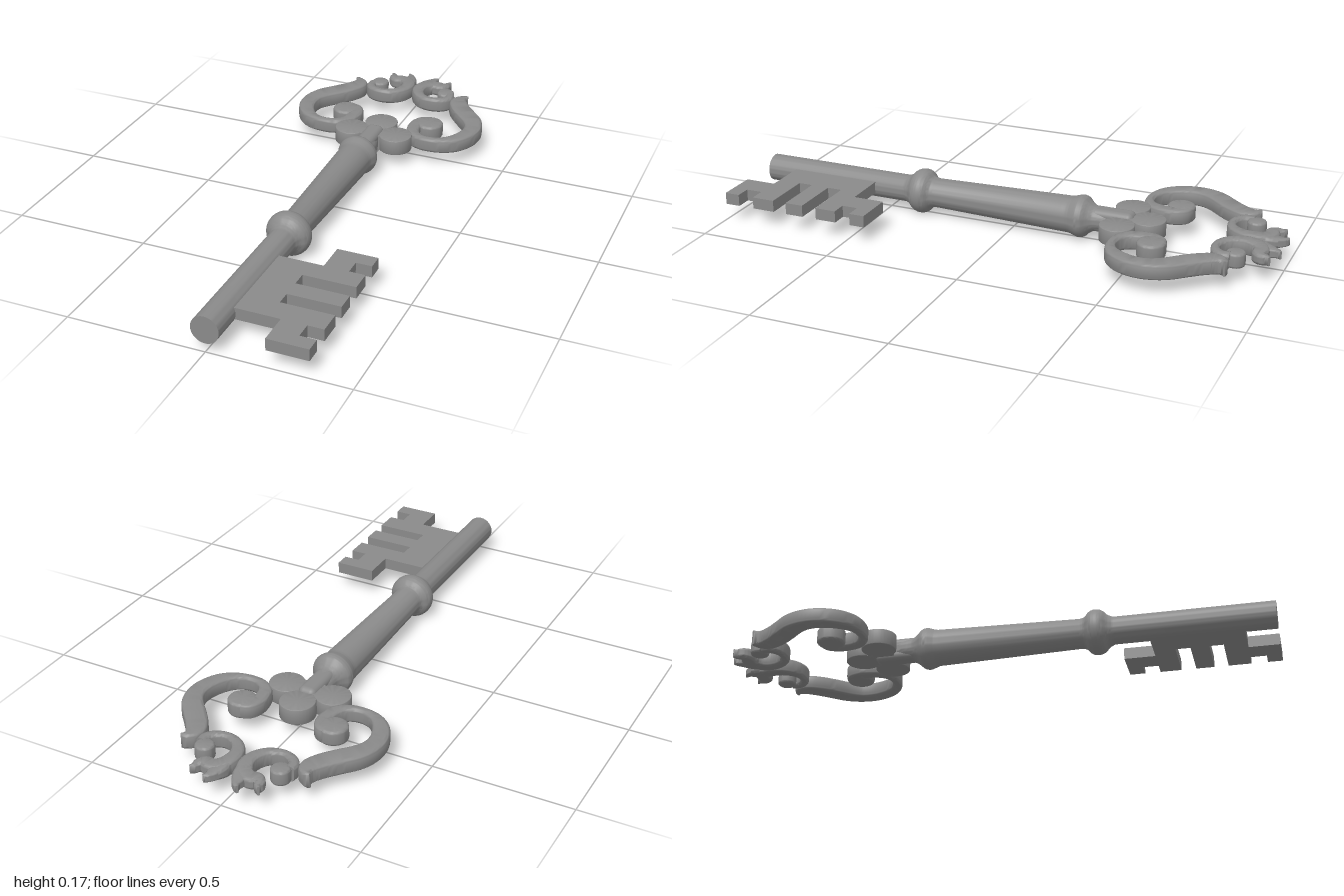
import * as THREE from 'three';
import { mergeVertices, toCreasedNormals } from 'three/addons/utils/BufferGeometryUtils.js';
import { RoundedBoxGeometry } from 'three/addons/geometries/RoundedBoxGeometry.js';

const AXIS = 0.0825; // height of the shaft's centre line
const mat = new THREE.MeshStandardMaterial({ color: 0x8a8a8a });

function add(parent, name, geometry, x = 0, y = 0, z = 0) {
  const mesh = new THREE.Mesh(geometry, mat);
  mesh.name = name;
  mesh.position.set(x, y, z);
  parent.add(mesh);
}

// Half thickness of the bow: constant, thinning towards the crown's tips
const halfThickness = z => 0.028 - 0.014 * THREE.MathUtils.smoothstep(-z, 0.87, 1.01);

// Scroll of varying width: points are [x, z, half width]; side is +1 or -1
function scroll(points, side, steps = 72) {
  const curve = new THREE.CatmullRomCurve3(
    points.map(([x, z, w]) => new THREE.Vector3(x * side, w, z)), false, 'centripetal');
  const pos = [], idx = [], arc = 4, ring = 4 * (arc + 1);
  for (let i = -1; i <= steps + 1; i++) {
    const t = THREE.MathUtils.clamp(i / steps, 0, 1);
    const p = curve.getPoint(t), d = curve.getTangent(t);
    const len = Math.hypot(d.x, d.z) || 1;
    const nx = d.z / len, nz = -d.x / len;
    const end = i < 0 || i > steps ? 0.001 : 1; // collapsed rings close the ends
    const w = Math.max(p.y, 0.004), h = halfThickness(p.z), r = Math.min(0.013, w * 0.7, h * 0.7);
    for (let q = 0; q < 4; q++) {
      const cx = (q === 0 || q === 3 ? 1 : -1) * (w - r), cy = (q < 2 ? 1 : -1) * (h - r);
      for (let k = 0; k <= arc; k++) {
        const a = (q + k / arc) * Math.PI / 2;
        const u = (cx + r * Math.cos(a)) * end, v = (cy + r * Math.sin(a)) * end;
        pos.push(p.x + nx * u, v, p.z + nz * u);
      }
    }
  }
  for (let i = 0; i < steps + 2; i++) {
    for (let j = 0; j < ring; j++) {
      const a = i * ring + j, b = i * ring + (j + 1) % ring;
      idx.push(a, b, a + ring, b, b + ring, a + ring);
    }
  }
  const g = new THREE.BufferGeometry();
  g.setAttribute('position', new THREE.Float32BufferAttribute(pos, 3));
  g.setIndex(idx);
  return toCreasedNormals(mergeVertices(g, 1e-5), 1.1);
}

// Round disc with softened rims
function disc(radius, h, bevel) {
  const pts = [new THREE.Vector2(0, -h)];
  for (let s = -1; s <= 1; s += 2) {
    for (let k = 0; k <= 4; k++) {
      const a = (s < 0 ? k / 4 - 1 : k / 4) * Math.PI / 2;
      pts.push(new THREE.Vector2(radius - bevel + bevel * Math.cos(a), s * (h - bevel) + bevel * Math.sin(a)));
    }
  }
  pts.push(new THREE.Vector2(0, h));
  return toCreasedNormals(new THREE.LatheGeometry(pts, 32), 0.6);
}

function shaftGeometry() {
  const V = (r, z) => new THREE.Vector2(r, z);
  // Neck and collar, from the bow end
  const collar = new THREE.SplineCurve([
    V(0.036, -0.38), V(0.042, -0.345), V(0.046, -0.315), V(0.058, -0.295), V(0.072, -0.28),
    V(0.077, -0.262), V(0.073, -0.245), V(0.067, -0.225), V(0.066, -0.2)]).getPoints(36);
  // Ball in front of the tapered grip
  const ball = new THREE.SplineCurve([
    V(0.054, 0.305), V(0.059, 0.323), V(0.072, 0.335), V(0.08, 0.348), V(0.0825, 0.363),
    V(0.08, 0.378), V(0.072, 0.392), V(0.059, 0.405), V(0.051, 0.422)]).getPoints(36);
  const pts = [V(0, -0.38), ...collar, ...ball, V(0.05, 0.43), V(0.05, 1), V(0, 1)];
  const g = new THREE.LatheGeometry(pts, 48);
  g.rotateX(Math.PI / 2);
  return toCreasedNormals(g, 0.6);
}

// Toothed bit, outlined in x and z
function bitGeometry() {
  const outline = [
    [0.03, 0.543], [0.207, 0.543], [0.207, 0.428], [0.355, 0.428], [0.355, 0.485], [0.297, 0.485],
    [0.297, 0.543], [0.355, 0.543], [0.355, 0.622], [0.165, 0.622], [0.165, 0.677], [0.355, 0.677],
    [0.355, 0.745], [0.165, 0.745], [0.165, 0.797], [0.355, 0.797], [0.355, 0.882], [0.297, 0.882],
    [0.297, 0.942], [0.355, 0.942], [0.355, 0.997], [0.207, 0.997], [0.207, 0.882], [0.03, 0.882]];
  const shape = new THREE.Shape(outline.map(([x, z]) => new THREE.Vector2(x, z)));
  const g = new THREE.ExtrudeGeometry(shape, { depth: 0.043, bevelEnabled: false });
  g.translate(0, 0, -0.0215);
  g.rotateX(Math.PI / 2);
  return g;
}

export function createModel() {
  const key = new THREE.Group();
  key.name = 'key';

  add(key, 'shaft', shaftGeometry(), 0, AXIS, 0);
  add(key, 'bit', bitGeometry(), 0, AXIS + 0.001, 0);
  add(key, 'stem', new RoundedBoxGeometry(0.068, 0.086, 0.16, 5, 0.022), 0, AXIS, -0.38);

  const bow = new THREE.Group();
  bow.name = 'bow';
  bow.position.y = AXIS;
  key.add(bow);

  // Trefoil at the foot of the bow
  add(bow, 'trefoilTop', disc(0.063, 0.029, 0.003), 0, 0, -0.511);
  add(bow, 'trefoilCore', new THREE.BoxGeometry(0.11, 0.057, 0.11), 0, 0, -0.44);

  const largeScroll = [
    [0.165, -0.604, 0.024], [0.142, -0.595, 0.026], [0.128, -0.565, 0.027], [0.127, -0.53, 0.026],
    [0.14, -0.487, 0.024], [0.175, -0.458, 0.018], [0.225, -0.452, 0.016], [0.275, -0.468, 0.022],
    [0.314, -0.507, 0.029], [0.338, -0.565, 0.032], [0.338, -0.62, 0.034], [0.315, -0.672, 0.038],
    [0.272, -0.722, 0.039], [0.235, -0.768, 0.038], [0.216, -0.805, 0.035], [0.218, -0.832, 0.027],
    [0.23, -0.849, 0.013], [0.241, -0.853, 0.004]];
  // Ring that rises from the curl and ends in a hooked lobe
  const crownScroll = [
    [0.165, -0.85, 0.018], [0.166, -0.822, 0.018], [0.146, -0.797, 0.017], [0.108, -0.785, 0.015],
    [0.065, -0.797, 0.019], [0.036, -0.83, 0.023], [0.026, -0.87, 0.026], [0.038, -0.912, 0.028],
    [0.067, -0.934, 0.027], [0.096, -0.933, 0.026], [0.113, -0.945, 0.019], [0.117, -0.963, 0.011],
    [0.127, -0.975, 0.004]];
  const crownLeaf = [
    [0.028, -0.89, 0.02], [0.037, -0.93, 0.027], [0.045, -0.96, 0.023], [0.051, -0.983, 0.014],
    [0.063, -0.998, 0.004]];

  for (const side of [1, -1]) {
    const label = side > 0 ? 'left' : 'right';
    add(bow, label + 'TrefoilLobe', disc(0.063, 0.029, 0.003), 0.09 * side, 0, -0.425);
    add(bow, label + 'LargeScroll', scroll(largeScroll, side));
    add(bow, label + 'LargeCurl', disc(0.051, 0.0285, 0.011), 0.176 * side, 0, -0.578);
    add(bow, label + 'CrownScroll', scroll(crownScroll, side));
    add(bow, label + 'CrownCurl', disc(0.034, 0.027, 0.01), 0.142 * side, 0, -0.864);
    add(bow, label + 'CrownLeaf', scroll(crownLeaf, side, 24));
  }
  return key;
}
